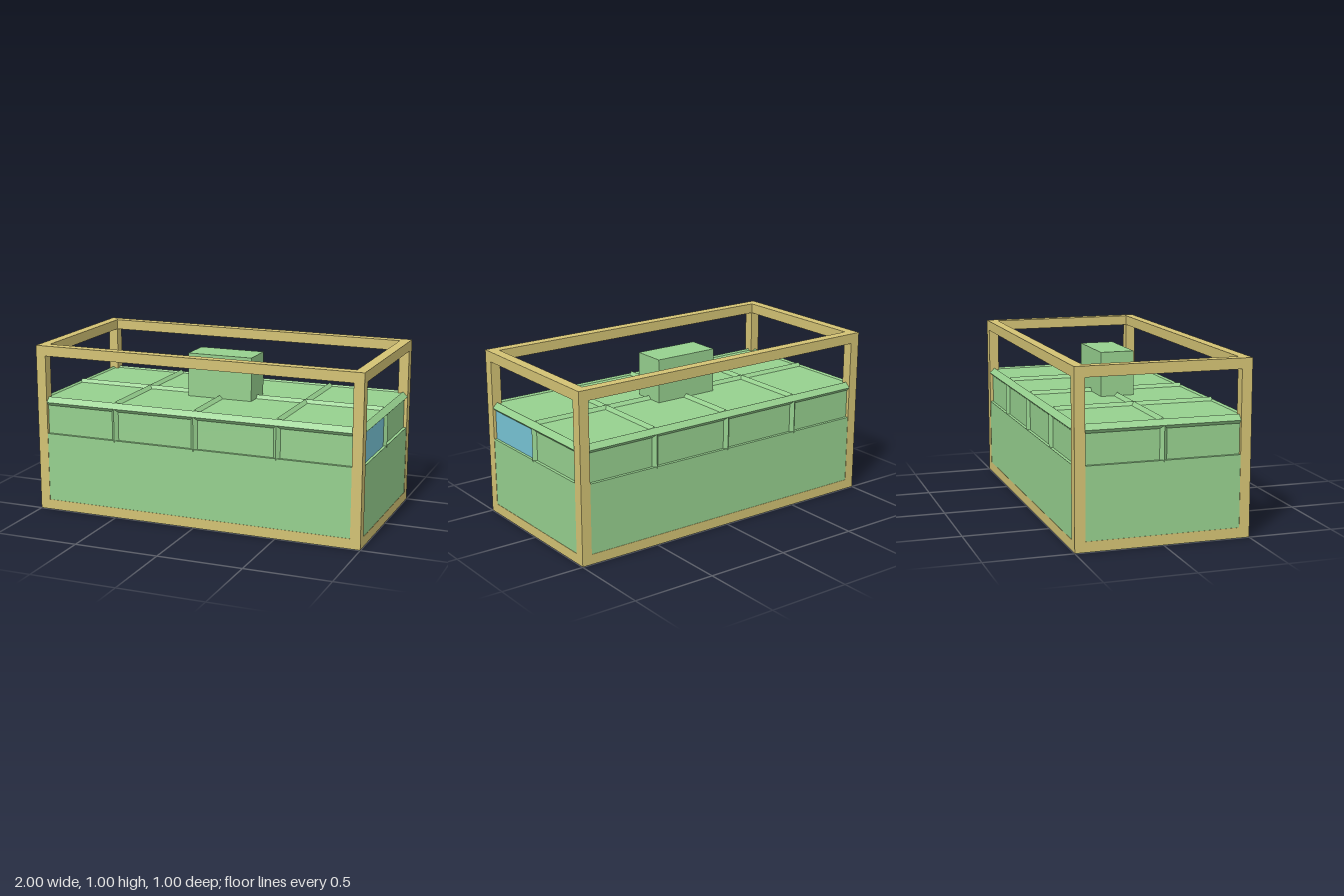
import * as THREE from 'three';

export function createModel() {
  const model = new THREE.Group();
  const green = new THREE.MeshStandardMaterial({ name: 'green wall', color: 0x96d08e });
  const tan = new THREE.MeshStandardMaterial({ name: 'tan frame', color: 0xd3c274 });
  const blue = new THREE.MeshStandardMaterial({ name: 'blue window', color: 0x78c4d6 });

  // Box given by its lower and upper corners
  function box(name, material, [x0, y0, z0], [x1, y1, z1]) {
    const mesh = new THREE.Mesh(new THREE.BoxGeometry(x1 - x0, y1 - y0, z1 - z0), material);
    mesh.name = name;
    mesh.position.set((x0 + x1) / 2, (y0 + y1) / 2, (z0 + z1) / 2);
    model.add(mesh);
  }

  // Square bar standing on its edge (diamond section), along one axis
  const side = 0.03 * Math.SQRT2;
  function ridge(name, axis, length, x, y, z) {
    const size = { x: [length, side, side], y: [side, length, side], z: [side, side, length] }[axis];
    const mesh = new THREE.Mesh(new THREE.BoxGeometry(...size), green);
    mesh.name = name;
    mesh.rotation[axis] = Math.PI / 4;
    mesh.position.set(x, y, z);
    model.add(mesh);
  }

  // Lower body, recessed upper body and the block on the roof
  const e = 0.002;
  box('lowerBody', green, [-1 + e, 0, -0.5 + e], [1 - e, 0.47, 0.5 - e]);
  box('upperBody', green, [-0.98, 0.46, -0.48], [0.98, 0.68, 0.48]);
  box('roofBlock', green, [-0.2, 0.67, -0.1], [0.2, 0.94, 0.1]);
  box('window', blue, [0.978, 0.47, 0.02], [0.982, 0.645, 0.46]);

  // Outer frame: four posts, and beams round the bottom and the top
  const t = 0.06;
  for (const s of [-1, 1]) {
    const xs = s < 0 ? [-1, -1 + t] : [1 - t, 1];
    const zs = s < 0 ? [-0.5, -0.5 + t] : [0.5 - t, 0.5];
    for (const [y0, y1] of [[e, t], [1 - t, 1]]) {
      box('longBeam', tan, [-1, y0, zs[0]], [1, y1, zs[1]]);
      box('shortBeam', tan, [xs[0], y0, -0.5 + t], [xs[1], y1, 0.5 - t]);
    }
    for (const z of [-0.5, 0.5 - t]) {
      box('post', tan, [xs[0], t, z], [xs[1], 1 - t, z + t]);
    }
  }

  // Ridges round the roof edge, and uprights between the wall panels
  for (const s of [-1, 1]) {
    ridge('longEaveRidge', 'x', 1.94, 0, 0.66, s * 0.47);
    ridge('shortEaveRidge', 'z', 0.94, s * 0.97, 0.66, 0);
    ridge('endUpright', 'y', 0.2, s * 0.97, 0.56, 0);
    for (const x of [-0.5, 0, 0.5]) ridge('wallUpright', 'y', 0.2, x, 0.56, s * 0.47);
  }

  // Ridges between the roof panels
  ridge('longRoofRidge', 'x', 1.94, 0, 0.67, 0);
  for (const x of [-0.5, 0, 0.5]) ridge('crossRoofRidge', 'z', 0.94, x, 0.67, 0);

  return model;
}
